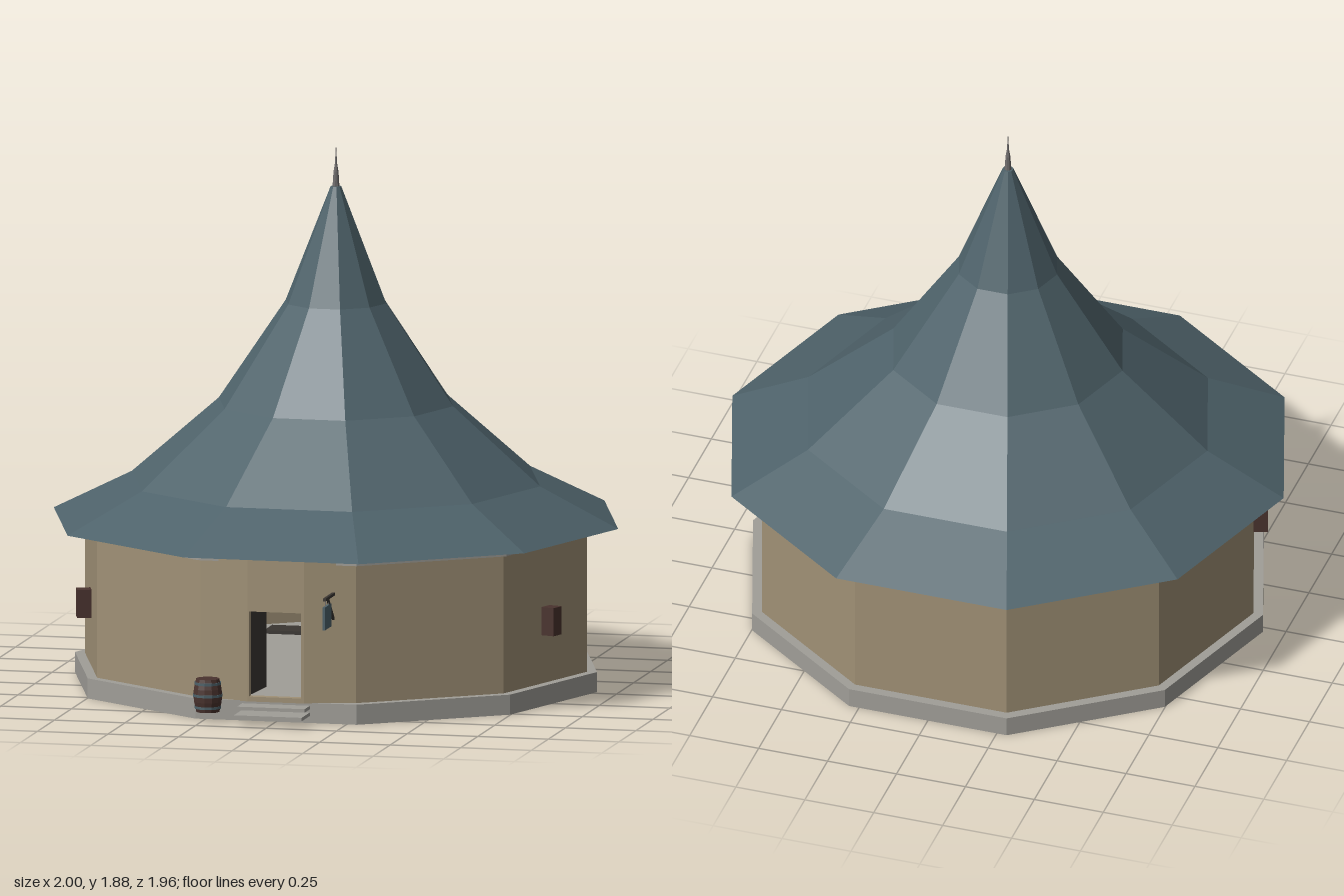
import * as THREE from 'three';

const mat = (name, color, side = THREE.FrontSide) => {
  const m = new THREE.MeshStandardMaterial({ color, flatShading: true, side });
  m.name = name;
  return m;
};

const CZ = -0.026;            // centre of the ten-sided plan
const SIDES = 10;
const START = Math.PI / SIDES; // puts a corner on the x axis and a flat face to the front

export function createModel() {
  const slate = mat('slateBlue', 0x4e626a);
  const plaster = mat('tanPlaster', 0xa09176, THREE.DoubleSide);
  const stone = mat('greyStone', 0xa09e98);
  const wood = mat('darkRedWood', 0x4a332e);
  const timber = mat('darkTimber', 0x3a3632);
  const iron = mat('ironGrey', 0x6f6c6c);

  const model = new THREE.Group();
  const add = (name, geo, material, x = 0, y = 0, z = 0, parent = model) => {
    const mesh = new THREE.Mesh(geo, material);
    mesh.name = name;
    mesh.position.set(x, y, z);
    parent.add(mesh);
    return mesh;
  };
  const box = (name, w, h, d, material, x, y, z, parent) =>
    add(name, new THREE.BoxGeometry(w, h, d), material, x, y, z, parent);
  const lathe = (pts, sides, start = 0) =>
    new THREE.LatheGeometry(pts.map(p => new THREE.Vector2(...p)), sides, start);

  // Stone base and eave trim
  add('stoneBase', new THREE.CylinderGeometry(0.925, 0.925, 0.07, SIDES, 1, false, START), stone, 0, 0.035, CZ);
  add('eaveTrim', new THREE.CylinderGeometry(0.906, 0.906, 0.02, SIDES, 1, true, START), stone, 0, 0.56, CZ);
  const trimUnder = add('eaveTrimUnderside', new THREE.RingGeometry(0.88, 0.906, SIDES, 1), stone, 0, 0.55, CZ);
  trimUnder.rotation.x = Math.PI / 2;

  // Flared roof with a closed underside
  add('roof', lathe([[0, 0.57], [1, 0.572], [0.723, 0.71], [0.415, 0.978], [0.178, 1.328], [0.019, 1.73], [0, 1.73]],
    SIDES, START), slate, 0, 0, CZ);
  add('spire', lathe([[0.013, 1.72], [0.009, 1.78], [0.004, 1.81], [0, 1.88]], 8), iron, 0, 0, CZ);

  // Walls: nine flat faces, with the front one replaced by a shallow bay
  const wallPanel = (name, [x0, z0], [x1, z1]) => {
    const panel = add(name, new THREE.PlaneGeometry(Math.hypot(x1 - x0, z1 - z0), 0.5), plaster,
      (x0 + x1) / 2, 0.318, (z0 + z1) / 2);
    panel.rotation.y = Math.atan2(-(z1 - z0), x1 - x0);
  };
  const corner = k => {
    const a = START + k * 2 * START;
    return [0.89 * Math.sin(a), 0.89 * Math.cos(a) + CZ];
  };
  for (let k = 0; k < SIDES - 1; k++) wallPanel('wall', corner(k), corner(k + 1));
  wallPanel('bayWall', corner(-1), [-0.1, 0.86]);
  wallPanel('bayWall', [0.1, 0.86], corner(0));

  // Bay front with the doorway cut through
  const rect = (T, x0, y0, x1, y1) => {
    const s = new T();
    s.moveTo(x0, y0); s.lineTo(x1, y0); s.lineTo(x1, y1); s.lineTo(x0, y1); s.closePath();
    return s;
  };
  const bayFront = rect(THREE.Shape, -0.1, 0.068, 0.1, 0.568);
  bayFront.holes.push(rect(THREE.Path, -0.095, 0.085, 0.09, 0.382));
  add('doorwayWall', new THREE.ExtrudeGeometry(bayFront, { depth: 0.03, bevelEnabled: false }), plaster, 0, 0, 0.83);

  // Door leaf swung inwards on its left jamb, with hinge straps
  const door = new THREE.Group();
  door.name = 'openDoor';
  door.position.set(-0.092, 0.085, 0.83);
  door.rotation.y = Math.PI / 2 - 0.08;
  model.add(door);
  box('doorLeaf', 0.18, 0.292, 0.015, timber, 0.09, 0.148, -0.012, door);
  for (const y of [0.05, 0.25]) box('hingeStrap', 0.12, 0.02, 0.006, iron, 0.06, y, -0.022, door);

  // Counter, shelf and mug inside
  box('counterTop', 0.5, 0.012, 0.12, timber, 0.1, 0.238, 0.35);
  box('shelf', 0.5, 0.006, 0.08, timber, 0.1, 0.302, 0.25);
  add('mug', new THREE.CylinderGeometry(0.008, 0.009, 0.035, 8), timber, 0.027, 0.322, 0.25);

  // Front steps
  box('lowerStep', 0.24, 0.012, 0.13, stone, 0, 0.031, 0.91);
  box('upperStep', 0.24, 0.012, 0.085, stone, 0, 0.054, 0.888);

  // Barrel with hoops
  const barrel = new THREE.Group();
  barrel.name = 'barrel';
  barrel.position.set(-0.23, 0.035, 0.903);
  model.add(barrel);
  add('staves', lathe([[0, 0], [0.041, 0], [0.049, 0.035], [0.051, 0.058], [0.049, 0.08], [0.041, 0.115], [0, 0.115]], 12),
    wood, 0, 0, 0, barrel);
  for (const [y, r] of [[0.016, 0.0465], [0.058, 0.0525], [0.099, 0.0465]])
    add('hoop', new THREE.CylinderGeometry(r, r, 0.009, 12, 1, false), slate, 0, y, 0, barrel);

  // Hanging sign on a braced bracket
  box('signArm', 0.01, 0.01, 0.15, timber, 0.2, 0.451, 0.897);
  const brace = box('signBrace', 0.008, 0.008, 0.125, timber, 0.2, 0.408, 0.885);
  brace.rotation.x = -Math.PI / 4;
  box('signBoard', 0.009, 0.08, 0.094, slate, 0.2, 0.386, 0.937);
  for (const z of [0.915, 0.955]) box('signHanger', 0.003, 0.026, 0.003, iron, 0.2, 0.437, z);

  // Wooden boxes on the side walls
  for (const s of [-1, 1]) {
    const a = s * Math.PI * 0.4;
    const b = box('wallBox', 0.054, 0.098, 0.05, wood, 0.871 * Math.sin(a), 0.288, 0.871 * Math.cos(a) + CZ);
    b.rotation.y = a;
  }
  return model;
}
